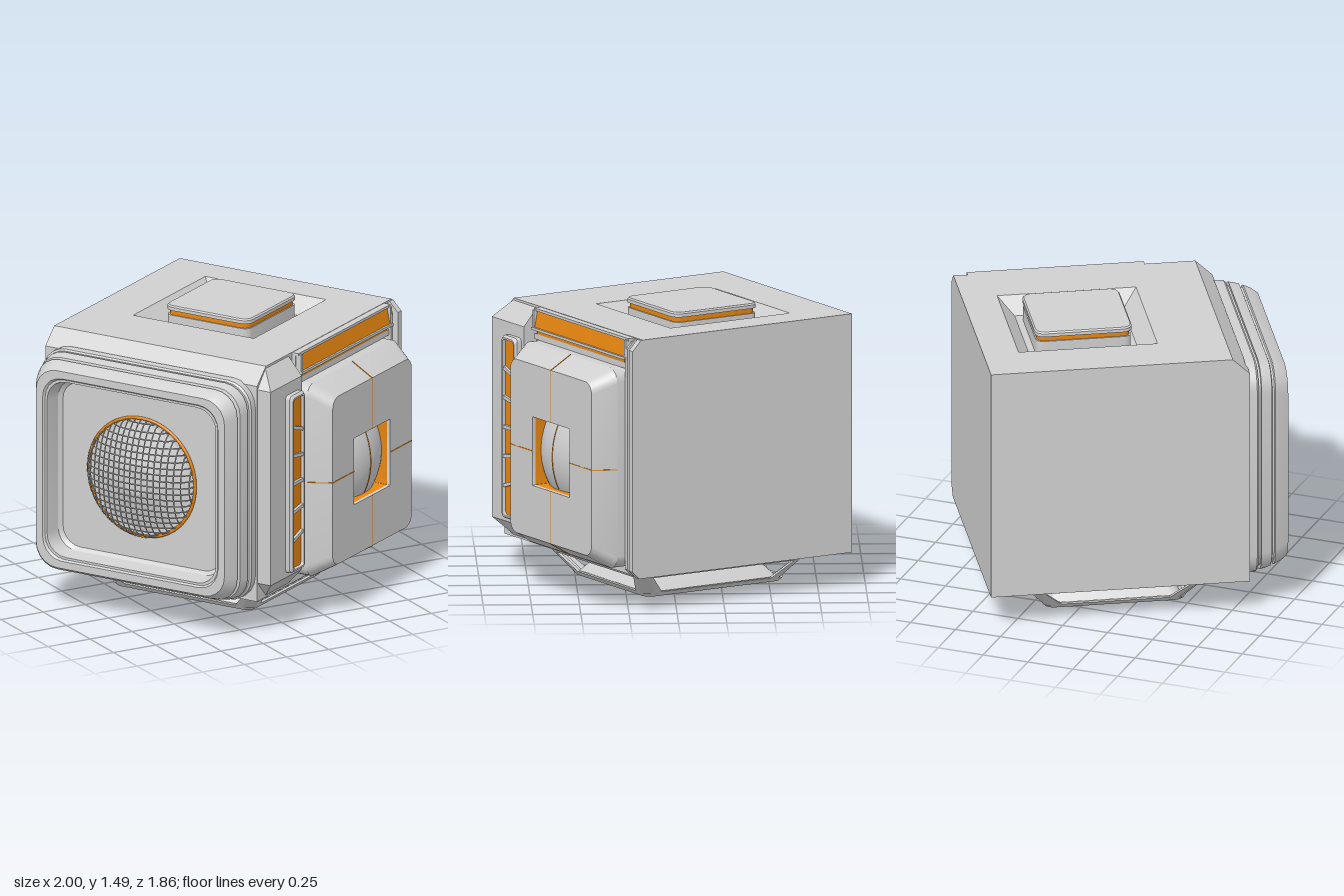
import * as THREE from 'three';
import { toCreasedNormals } from 'three/addons/utils/BufferGeometryUtils.js';

export function createModel() {
  const paint = (name, hex) => {
    const m = new THREE.MeshStandardMaterial({ color: hex, side: THREE.DoubleSide });
    m.name = name;
    return m;
  };
  const gray = paint('shellGray', 0xd0d0d0);
  const orange = paint('accentOrange', 0xf68f12);

  const model = new THREE.Group();
  model.name = 'cubeDevice';
  model.rotation.y = Math.PI / 6; // the cube stands turned by 30 degrees
  const root = new THREE.Group();
  root.add(model);

  const add = (parent, name, geo, mat, x = 0, y = 0, z = 0) => {
    const mesh = new THREE.Mesh(geo, mat);
    mesh.name = name;
    mesh.position.set(x, y, z);
    parent.add(mesh);
    return mesh;
  };
  const box = (parent, name, mat, w, h, d, x, y, z) =>
    add(parent, name, new THREE.BoxGeometry(w, h, d), mat, x, y, z);
  const group = (name, x, y, z, rx = 0, ry = 0) => {
    const g = new THREE.Group();
    g.name = name;
    g.position.set(x, y, z);
    g.rotation.set(rx, ry, 0);
    model.add(g);
    return g;
  };

  // counter-clockwise rounded rectangle at height z
  const rect = ([z, hx, hy, r]) => {
    const pts = [], n = 5;
    for (let c = 0; c < 4; c++) {
      const sx = c === 0 || c === 3 ? 1 : -1, sy = c < 2 ? 1 : -1;
      for (let i = 0; i <= n; i++) {
        const a = (c + i / n) * Math.PI / 2;
        pts.push([sx * (hx - r) + r * Math.cos(a), sy * (hy - r) + r * Math.sin(a), z]);
      }
    }
    return pts;
  };
  // skin through rings, with a flat cap at either end
  const loft = (rings, capStart, capEnd) => {
    const p = [], n = rings[0].length;
    for (let k = 0; k + 1 < rings.length; k++) {
      for (let i = 0; i < n; i++) {
        const j = (i + 1) % n, a = rings[k], b = rings[k + 1];
        p.push(...a[i], ...a[j], ...b[j], ...a[i], ...b[j], ...b[i]);
      }
    }
    const cap = (ring, flip) => {
      for (let i = 1; i + 1 < n; i++) {
        p.push(...ring[0], ...ring[flip ? i + 1 : i], ...ring[flip ? i : i + 1]);
      }
    };
    if (capStart) cap(rings[0], true);
    if (capEnd) cap(rings[rings.length - 1], false);
    const g = new THREE.BufferGeometry();
    g.setAttribute('position', new THREE.Float32BufferAttribute(p, 3));
    return toCreasedNormals(g, 0.5);
  };
  const polygon = pts => pts.map(([x, y]) => new THREE.Vector2(x, y));

  // main body, and a top slab with a sloping hatch recess and a sloped edge
  box(model, 'body', gray, 1.36, 1.18, 1.28, 0.07, 0.77, 0);
  const slab = new THREE.Shape(polygon([[-0.61, -0.64], [0.75, -0.64], [0.75, 0.64], [-0.61, 0.64]]));
  slab.holes.push(new THREE.Path(polygon([[-0.165, -0.355], [-0.165, 0.375], [0.565, 0.375], [0.565, -0.355]])));
  const slabGeo = new THREE.ExtrudeGeometry(slab, { depth: 0.085, bevelEnabled: false });
  const sp = slabGeo.attributes.position;
  for (let i = 0; i < sp.count; i++) {
    const x = sp.getX(i), y = sp.getY(i), top = sp.getZ(i) > 0.04;
    if (top && x < -0.6) sp.setX(i, -0.52);
    if (!top && x > -0.2 && x < 0.6) {
      sp.setX(i, 0.2 + (x - 0.2) * 0.78);
      sp.setY(i, 0.01 + (y - 0.01) * 0.78);
    }
  }
  slabGeo.computeVertexNormals();
  add(model, 'topSlab', slabGeo, gray, 0, 1.36, 0).rotation.x = -Math.PI / 2;

  // top hatch
  const hatch = group('topHatch', 0.2, 0, 0, -Math.PI / 2);
  add(hatch, 'hatchBase', loft([rect([1.35, 0.25, 0.25, 0.04]), rect([1.44, 0.25, 0.25, 0.04])], false, true), gray);
  add(hatch, 'hatchGlow', loft([rect([1.43, 0.243, 0.243, 0.04]), rect([1.47, 0.243, 0.243, 0.04])]), orange);
  add(hatch, 'hatchLid', loft([[1.467, 0.255, 0.255, 0.05], [1.485, 0.255, 0.255, 0.05],
    [1.493, 0.248, 0.248, 0.045]].map(rect), true, true), gray);

  // corner pillar with bevelled ends
  const plan = (y, x, z) => [[x, -z, y], [-0.29, -z, y], [-0.29, -0.5, y], [x, -0.5, y]];
  add(model, 'cornerPillar', loft([plan(0.18, -0.51, 0.63), plan(0.28, -0.605, 0.72),
    plan(1.34, -0.605, 0.72), plan(1.445, -0.515, 0.63)], true, true), gray).rotation.x = -Math.PI / 2;

  // vent on the pillar
  const vent = group('vent', -0.385, 0.79, 0);
  add(vent, 'ventFrame', loft([[0.71, 0.07, 0.485, 0.02], [0.745, 0.07, 0.485, 0.02], [0.76, 0.06, 0.475, 0.02],
    [0.76, 0.051, 0.466, 0.015], [0.725, 0.049, 0.464, 0.015]].map(rect)), gray);
  box(vent, 'ventGlow', orange, 0.105, 0.935, 0.008, 0, 0, 0.737);
  for (let i = -2; i <= 2; i++) {
    box(vent, 'ventSlat', gray, 0.105, 0.018, 0.018, 0, i * 0.148, 0.747).rotation.z = -i * 0.16;
  }

  // front panel with a square window over a ball
  const panel = group('frontPanel', 0.195, 0.75, 0);
  add(panel, 'panelShell', loft([[0.63, 0.46, 0.53, 0.07], [0.735, 0.46, 0.53, 0.07], [0.855, 0.4, 0.46, 0.06],
    [0.855, 0.182, 0.182, 0.004], [0.838, 0.18, 0.18, 0.004]].map(rect)), gray);
  add(panel, 'windowLiner', loft([[0.838, 0.18, 0.18, 0.004], [0.66, 0.18, 0.18, 0.004]].map(rect), false, true), orange);
  const ballRadius = 0.4, ballZ = 0.447;
  add(panel, 'windowBall', new THREE.SphereGeometry(ballRadius, 48, 16, 0, Math.PI * 2, 0, 0.8), gray, 0, 0, ballZ)
    .rotation.x = Math.PI / 2;
  const ballSeam = add(panel, 'ballSeam', new THREE.TorusGeometry(ballRadius, 0.003, 4, 24, 0.9), orange, 0, 0, ballZ);
  ballSeam.rotation.set(0, -Math.PI / 2, -0.45, 'YXZ');
  for (let k = 0; k < 4; k++) {
    const arm = new THREE.Group();
    arm.name = 'panelSeam';
    arm.rotation.z = k * Math.PI / 2;
    panel.add(arm);
    const face = k % 2 ? 0.46 : 0.4, base = k % 2 ? 0.53 : 0.46;
    box(arm, 'faceSeam', orange, face - 0.182, 0.005, 0.004, (face + 0.182) / 2, 0, 0.855);
    const dx = base - face, dz = 0.12;
    box(arm, 'bevelSeam', orange, Math.hypot(dx, dz), 0.005, 0.006, (face + base) / 2, 0, 0.795)
      .rotation.y = Math.atan2(dz, dx);
  }

  // light strip above the panel
  const strip = group('lightStrip', 0.21, 0, 0);
  box(strip, 'stripBack', gray, 0.93, 0.11, 0.03, 0, 1.385, 0.645);
  box(strip, 'stripGlow', orange, 0.89, 0.085, 0.008, 0, 1.385, 0.676).rotation.x = -0.2;
  box(strip, 'stripSill', gray, 0.92, 0.014, 0.07, 0, 1.338, 0.665);
  box(strip, 'lowerGlow', orange, 0.86, 0.02, 0.04, 0, 1.32, 0.66);
  box(strip, 'lowerSill', gray, 0.92, 0.03, 0.05, 0, 1.295, 0.655);
  box(strip, 'stripTopLip', gray, 0.93, 0.014, 0.045, 0, 1.436, 0.656);
  for (const s of [-1, 1]) box(strip, 'stripEnd', gray, 0.016, 0.1, 0.06, s * 0.452, 1.385, 0.662);

  // edge rails beside the panel
  [[0.672, 0.025, 0.69], [0.7, 0.022, 0.67], [0.732, 0.036, 0.7]].forEach(([x, w, z]) => {
    const rail = new THREE.Shape(polygon([[0.6, 0.18], [z - 0.04, 0.18], [z, 0.22], [z, 1.39], [z - 0.05, 1.443], [0.6, 1.443]]));
    const g = new THREE.ExtrudeGeometry(rail, { depth: w, bevelEnabled: false });
    add(model, 'edgeRail', g, gray, x + w / 2, 0, 0).rotation.y = -Math.PI / 2;
  });

  // speaker on the right side
  const speaker = group('speaker', 0, 0.78, 0, 0, -Math.PI / 2);
  add(speaker, 'speakerFrame', loft([[0.6, 0.63], [0.65, 0.63], [0.66, 0.622], [0.66, 0.605], [0.674, 0.605],
    [0.674, 0.622], [0.705, 0.617], [0.73, 0.61], [0.735, 0.596], [0.745, 0.596], [0.75, 0.605], [0.79, 0.59],
    [0.822, 0.57], [0.822, 0.53], [0.81, 0.522], [0.81, 0.51], [0.72, 0.497], [0.7, 0.48]]
    .map(([d, h]) => rect([d, h, h - 0.03, h * 0.22])), false, true), gray);
  add(speaker, 'speakerRing', new THREE.TorusGeometry(0.322, 0.009, 8, 48), orange, 0, 0, 0.704);
  add(speaker, 'speakerCone', new THREE.CylinderGeometry(0.08, 0.29, 0.06, 40), gray, 0, 0, 0.73).rotation.x = Math.PI / 2;

  // domed wire grille
  const rim = 0.32;
  for (let i = -9; i <= 9; i++) {
    const c = i * 0.034, half = Math.sqrt(rim * rim - c * c);
    for (const upright of [false, true]) {
      const pts = [];
      for (let k = 0; k <= 10; k++) {
        const a = Math.PI * k / 10, t = -half * Math.cos(a), d = 0.7 + 0.13 * half / rim * Math.sin(a);
        pts.push(upright ? new THREE.Vector3(c, t, d) : new THREE.Vector3(t, c, d));
      }
      add(speaker, 'grilleWire', new THREE.TubeGeometry(new THREE.CatmullRomCurve3(pts), 18, 0.004, 4), gray);
    }
  }

  // hollow tapered foot with cut corners and a window in each side
  const foot = group('foot', 0.065, 0, 0);
  const core = group('footCore', 0.065, 0, 0, -Math.PI / 2);
  const fx = 0.365, fz = 0.415, flare = 0.115, cut = 0.05;
  const footLoft = (name, mat, rings, capped) =>
    add(core, name, loft(rings.map(([y, grow, r]) => rect([y, fx + grow, fz + grow, r])), capped, capped), mat);
  footLoft('footRim', gray, [[0.15, flare, 0.05], [0.185, flare, 0.05]], true);
  footLoft('footCeiling', orange, [[0.142, 0.05, 0.04], [0.148, 0.05, 0.04]], true);
  footLoft('footLip', gray, [[0.02, -0.015, 0.04], [0.085, -0.07, 0.04]], false);
  footLoft('footGlow', orange, [[0.085, -0.07, 0.04], [0.148, -0.07, 0.04]], false);
  footLoft('footLiner', orange, [[0.022, -0.05, 0.06], [0.085, -0.085, 0.06], [0.145, -0.09, 0.06]], false);
  footLoft('footBottomRing', gray, [[0.025, -0.05, 0.06], [0, -0.04, 0.06], [0, 0, 0.05], [0.02, 0.015, 0.05]], false);
  for (let k = 0; k < 4; k++) {
    const [w, out] = k % 2 ? [fz, fx] : [fx, fz], low = w - cut, high = w + flare - cut;
    const side = new THREE.Shape(polygon([[-low, 0], [low, 0], [high, 0.15], [-high, 0.15]]));
    side.holes.push(new THREE.Path(polygon([[0.03 - low, 0.025], [0.05 - high, 0.12], [high - 0.05, 0.12], [low - 0.03, 0.025]])));
    const geo = new THREE.ExtrudeGeometry(side, { depth: 0.02, bevelEnabled: false });
    const fp = geo.attributes.position;
    for (let i = 0; i < fp.count; i++) fp.setZ(i, fp.getZ(i) + out - 0.02 + fp.getY(i) * flare / 0.15);
    geo.computeVertexNormals();
    add(foot, 'footSide', geo, gray).rotation.y = k * Math.PI / 2;
    const wedge = [[0, 0], [0.15, flare]].map(([y, g]) =>
      [[w + g - cut, -out - g, y], [w + g, cut - out - g, y], [w + g - cut, cut - out - g, y]]);
    const turn = new THREE.Group();
    turn.name = 'footCorner';
    turn.rotation.y = k * Math.PI / 2;
    foot.add(turn);
    add(turn, 'footCornerPost', loft(wedge, true, true), gray).rotation.x = -Math.PI / 2;
  }

  return root;
}
